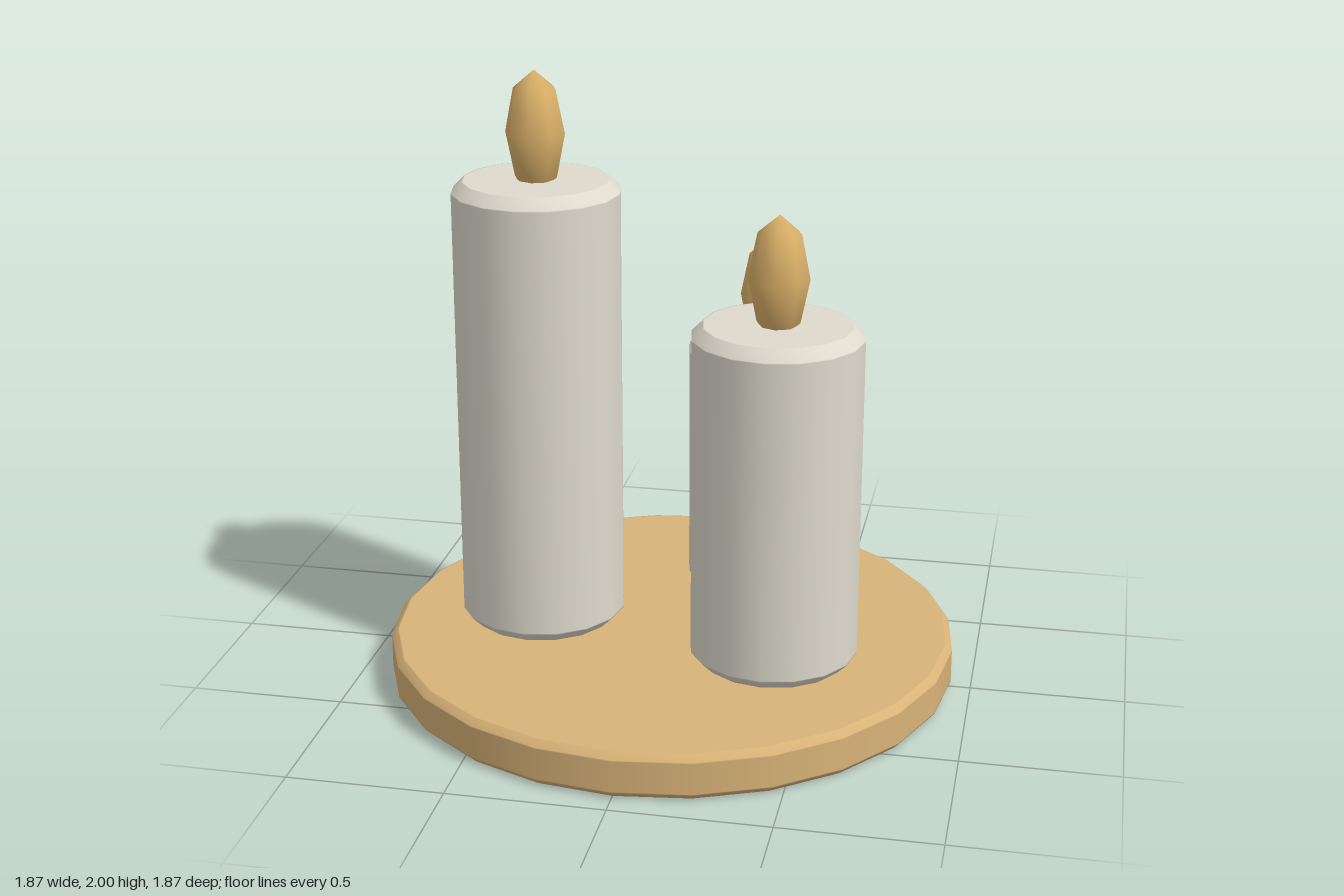
import * as THREE from 'three';

const wood = new THREE.MeshStandardMaterial({ color: 0xd8b378 });
wood.name = 'wood';
const wax = new THREE.MeshStandardMaterial({ color: 0xdedacd });
wax.name = 'wax';
const flameGold = new THREE.MeshStandardMaterial({ color: 0xdcb26a });
flameGold.name = 'flame gold';

// Solid disc with bevelled rims; thin support loops keep the caps and wall evenly shaded
function bevelledCylinder(radius, height, bevel, sides) {
  const e = 0.004;
  const inner = radius - bevel;
  const half = [[0, 0], [inner - e, 0], [inner, 0], [radius, bevel], [radius, bevel + e]];
  const upper = half.map(([r, y]) => [r, height - y]).reverse();
  const points = [...half, ...upper].map(([r, y]) => new THREE.Vector2(r, y));
  return new THREE.LatheGeometry(points, sides);
}

function addMesh(parent, name, geometry, material, x, y, z) {
  const mesh = new THREE.Mesh(geometry, material);
  mesh.name = name;
  mesh.position.set(x, y, z);
  parent.add(mesh);
  return mesh;
}

export function createModel() {
  const model = new THREE.Group();
  model.name = 'candleTray';

  const plateTop = 0.15;
  addMesh(model, 'plate', bevelledCylinder(0.935, plateTop, 0.02, 24), wood, 0, 0, 0);

  // Candles: name, x, z, height of the wax top
  const candles = [
    ['tallCandle', -0.44, 0, 1.65],
    ['middleCandle', 0.37, 0.185, 1.275],
    ['shortCandle', 0.245, -0.44, 1.025],
  ];
  const flameGeometry = new THREE.SphereGeometry(0.097, 8, 4);
  flameGeometry.scale(1, 0.2 / 0.097, 1);

  for (const [name, x, z, top] of candles) {
    const candle = new THREE.Group();
    candle.name = name;
    candle.position.set(x, 0, z);
    model.add(candle);
    const body = bevelledCylinder(0.272, top - plateTop, 0.035, 16);
    addMesh(candle, 'waxBody', body, wax, 0, plateTop, 0);
    // Stretched low-poly flame, its base sunk into the wax
    addMesh(candle, 'flame', flameGeometry, flameGold, 0, top + 0.15, 0);
  }
  return model;
}
